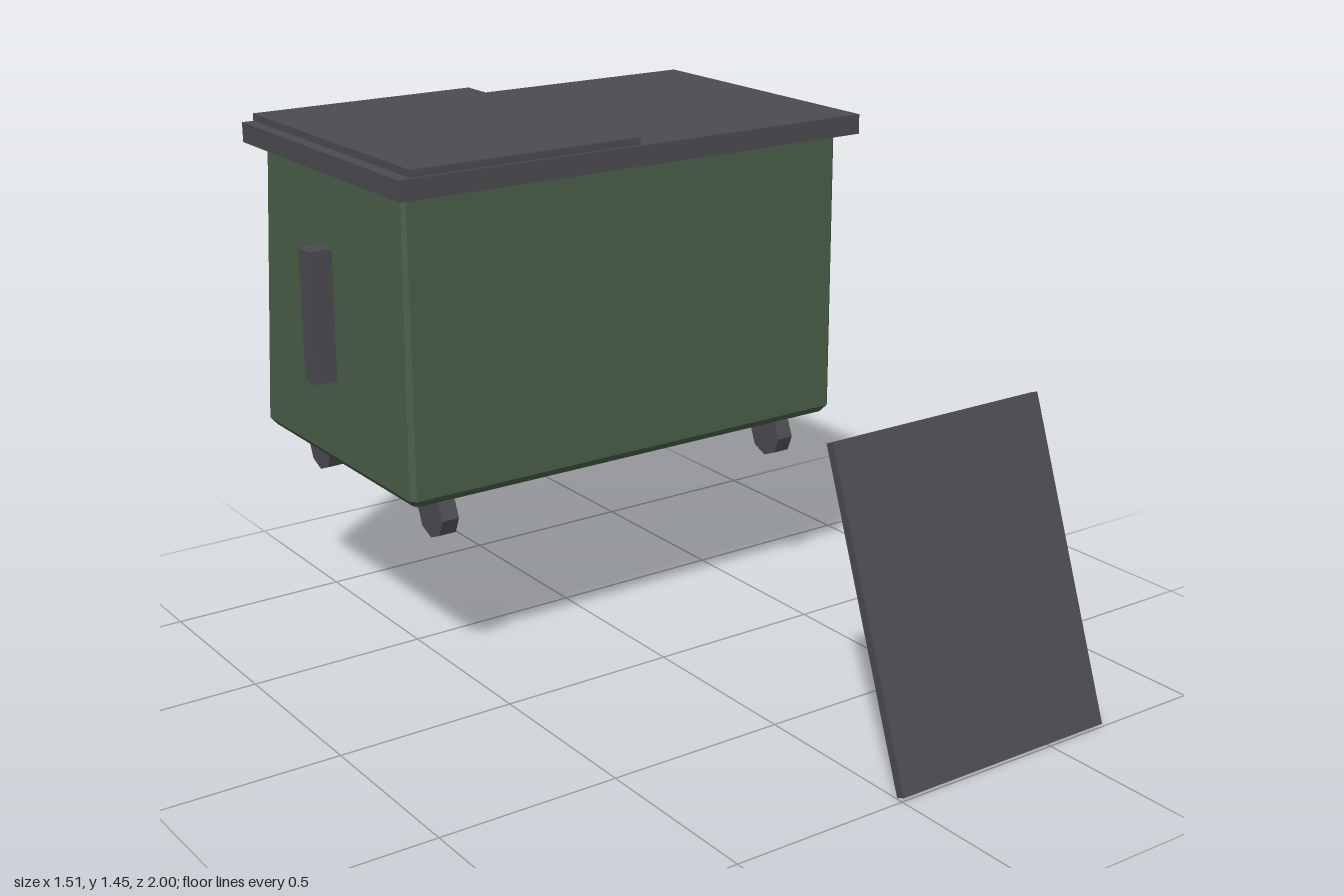
import * as THREE from 'three';

const green = new THREE.MeshStandardMaterial({ name: 'green paint', color: 0x4a5f49 });
const grey = new THREE.MeshStandardMaterial({ name: 'dark grey plastic', color: 0x4c4b50 });
const rust = new THREE.MeshStandardMaterial({ name: 'rust brown', color: 0x7a543c });

// Box given by its min and max corners
function slab(name, material, [x0, y0, z0], [x1, y1, z1]) {
  const mesh = new THREE.Mesh(new THREE.BoxGeometry(x1 - x0, y1 - y0, z1 - z0), material);
  mesh.position.set((x0 + x1) / 2, (y0 + y1) / 2, (z0 + z1) / 2);
  mesh.name = name;
  return mesh;
}

// Rectangle with cut corners, running from +z towards +x
function ring(y, halfWidth, front, back, cut) {
  const w = halfWidth, c = cut;
  return [
    [-w + c, front], [w - c, front], [w, front - c], [w, back + c],
    [w - c, back], [-w + c, back], [-w, back + c], [-w, front - c],
  ].map(([x, z]) => [x, y, z]);
}

// Tapered bin body lofted through its cross-sections
function bodyGeometry() {
  const rings = [
    ring(0.55, 0.677, -0.152, -0.975, 0.012),
    ring(0.57, 0.693, -0.138, -0.988, 0.014),
    ring(1.39, 0.688, -0.138, -0.902, 0.01),
  ];
  const points = [];
  for (let r = 0; r < rings.length - 1; r++) {
    for (let i = 0; i < 8; i++) {
      const j = (i + 1) % 8;
      const a = rings[r][i], b = rings[r][j], c = rings[r + 1][j], d = rings[r + 1][i];
      points.push(a, b, c, a, c, d);
    }
  }
  const floor = rings[0], top = rings[2];
  for (let i = 1; i < 7; i++) {
    points.push(floor[0], floor[i + 1], floor[i]);
    points.push(top[0], top[i], top[i + 1]);
  }
  const geometry = new THREE.BufferGeometry();
  geometry.setAttribute('position', new THREE.Float32BufferAttribute(points.flat(), 3));
  geometry.computeVertexNormals();
  return geometry;
}

export function createModel() {
  const model = new THREE.Group();
  model.name = 'wheeledBin';

  const body = new THREE.Mesh(bodyGeometry(), green);
  body.name = 'body';
  model.add(body);

  // Rim and the lid panel still in place
  model.add(slab('rim', grey, [-0.725, 1.375, -0.969], [0.725, 1.43, -0.082]));
  model.add(slab('lidPanel', grey, [-0.69, 1.425, -0.972], [-0.008, 1.45, -0.092]));

  // Loose lid panel leaning in front
  const loose = new THREE.Mesh(new THREE.BoxGeometry(0.682, 0.88, 0.025), grey);
  loose.name = 'looseLidPanel';
  loose.position.set(0.345, 0.418, 0.838);
  loose.rotation.x = -THREE.MathUtils.degToRad(20);
  model.add(loose);

  // Side handles and wheels
  const wheelGeometry = new THREE.CylinderGeometry(0.065, 0.065, 0.05, 8).toNonIndexed();
  wheelGeometry.rotateZ(Math.PI / 2);
  wheelGeometry.computeVertexNormals();
  for (const side of [-1, 1]) {
    const inner = side * 0.67, outer = side * 0.755;
    model.add(slab('handle', grey,
      [Math.min(inner, outer), 0.795, -0.597], [Math.max(inner, outer), 1.16, -0.535]));
    for (const z of [-0.243, -0.886]) {
      const wheel = new THREE.Mesh(wheelGeometry, grey);
      wheel.name = 'wheel';
      wheel.position.set(side * 0.56, 0.481, z);
      model.add(wheel);
    }
  }

  // Rusty plates on the back
  for (const [x, y] of [[-0.368, 0.738], [0.368, 0.738], [0, 0.962]]) {
    model.add(slab('rustPlate', rust, [x - 0.21, y - 0.089, -1], [x + 0.21, y + 0.089, -0.991]));
  }

  return model;
}
